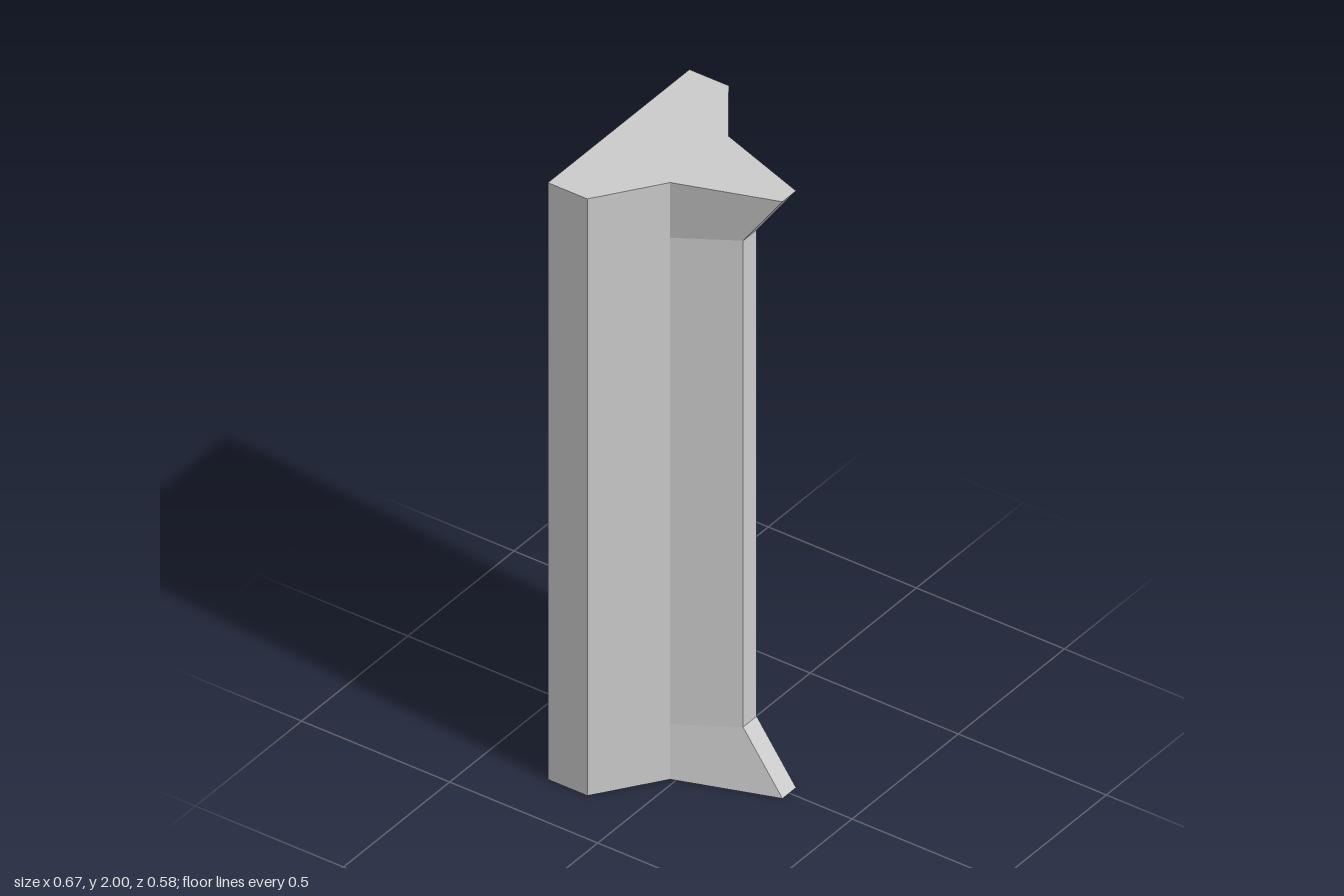
import * as THREE from 'three';

// Outline of the post seen from above, starting at the back left corner,
// for a rib whose front edge lies at z = ribZ.
function section(y, ribZ) {
  const half = [[0.333, -0.288], [0.333, -0.155], [0.137, -0.016], [0.032, ribZ]];
  const mirrored = half.map(([x, z]) => [-x, z]).reverse();
  return [...half, ...mirrored].map(([x, z]) => new THREE.Vector3(x, y, z));
}

export function createModel() {
  const group = new THREE.Group();
  group.name = 'flaredPost';

  // The rib flares forward at both ends
  const rings = [section(0, 0.288), section(0.185, 0.155), section(1.815, 0.155), section(2, 0.288)];
  const positions = [], normals = [], index = [];

  // One facet with a single normal, split along its a-c diagonal
  function quad(a, b, c, d) {
    const start = positions.length / 3;
    const n = c.clone().sub(a).cross(d.clone().sub(b)).normalize();
    for (const p of [a, b, c, d]) {
      positions.push(p.x, p.y, p.z);
      normals.push(n.x, n.y, n.z);
    }
    index.push(start, start + 1, start + 2, start, start + 2, start + 3);
  }

  // Side walls
  for (let r = 0; r < rings.length - 1; r++) {
    const low = rings[r], high = rings[r + 1];
    for (let i = 0; i < 8; i++) {
      const j = (i + 1) % 8;
      quad(low[j], low[i], high[i], high[j]);
    }
  }

  // End caps, as strips across the symmetric outline
  const bottom = rings[0], top = rings[3];
  for (let i = 0; i < 3; i++) {
    quad(top[i], top[7 - i], top[6 - i], top[i + 1]);
    quad(bottom[i + 1], bottom[6 - i], bottom[7 - i], bottom[i]);
  }

  const geometry = new THREE.BufferGeometry();
  geometry.setAttribute('position', new THREE.Float32BufferAttribute(positions, 3));
  geometry.setAttribute('normal', new THREE.Float32BufferAttribute(normals, 3));
  geometry.setIndex(index);

  const post = new THREE.Mesh(geometry, new THREE.MeshStandardMaterial({ color: 0xcccccc }));
  post.name = 'post';
  group.add(post);
  return group;
}
